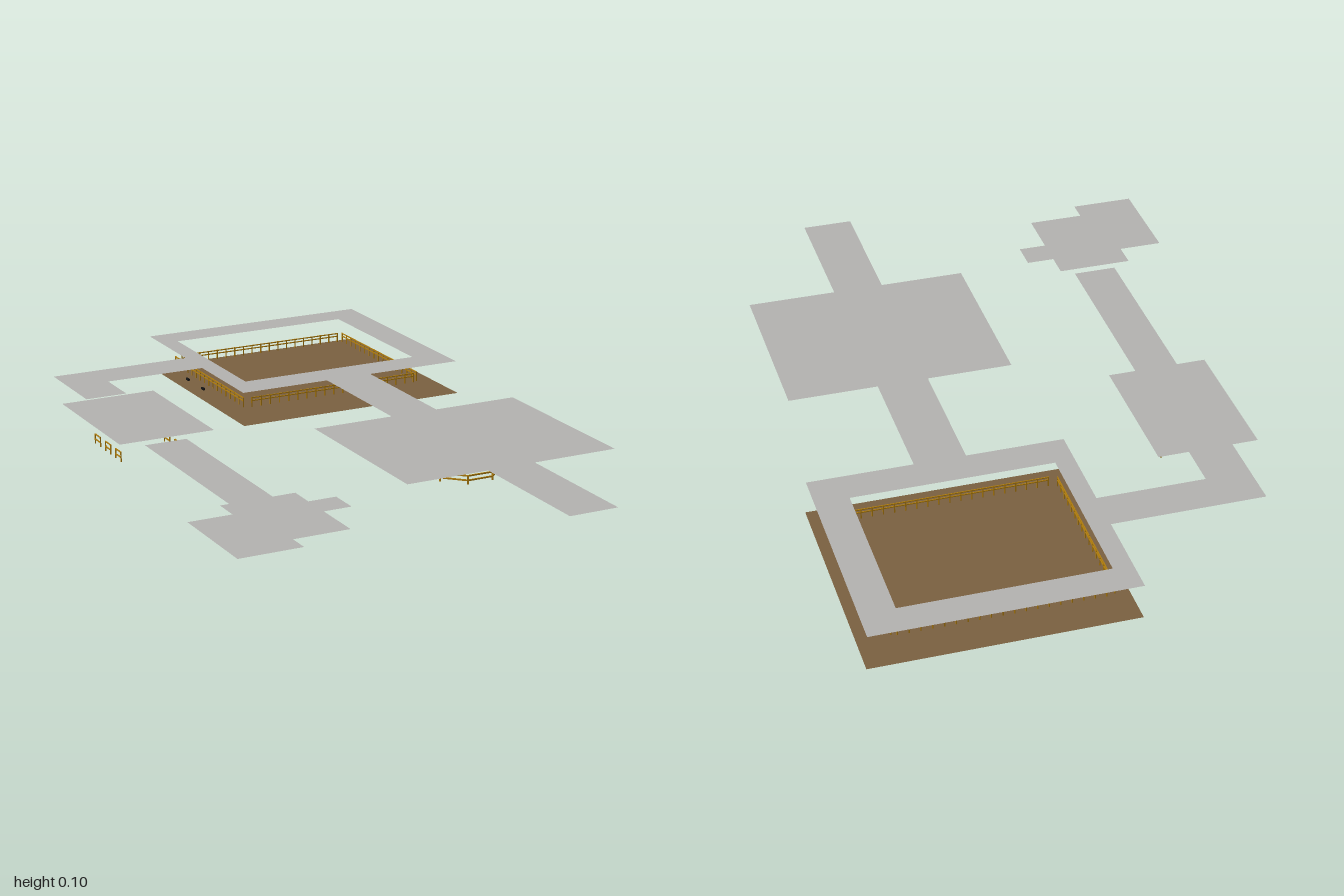
import * as THREE from 'three';

const mat = (name, color) => new THREE.MeshStandardMaterial({ name, color, side: THREE.DoubleSide });

export function createModel() {
  const stone = mat('grey stone', 0xb2b1af);
  const wood = mat('brown floor', 0x7a6040);
  const gold = mat('gold railing', 0xb07d0c);
  const black = mat('black fitting', 0x151515);
  const root = new THREE.Group();
  root.name = 'floorPlan';

  const add = (parent, name, geo, material) => {
    const m = new THREE.Mesh(geo, material);
    m.name = name;
    parent.add(m);
    return m;
  };

  // Flat slab from x,z outline points, facing up
  const outline = pts => pts.map(([x, z]) => new THREE.Vector2(x, -z));
  const rect = (x0, x1, z0, z1) => [[x0, z0], [x0, z1], [x1, z1], [x1, z0]];
  const slab = (name, pts, y, material, hole) => {
    const shape = new THREE.Shape(outline(pts));
    if (hole) shape.holes.push(new THREE.Path(outline(hole)));
    const geo = new THREE.ShapeGeometry(shape).rotateX(-Math.PI / 2).translate(0, y, 0);
    return add(root, name, geo, material);
  };

  // Great hall: lower floor with a walkway above it
  slab('hallFloor', rect(-0.06, 0.66, -1, -0.32), 0, wood);
  slab('walkway', rect(-0.06, 0.655, -1, -0.325), 0.1, stone, rect(-0.005, 0.56, -0.91, -0.425));

  // Main rooms and passages
  slab('mainPassage', rect(0.215, 0.36, -0.325, 0.07), 0.1, stone);
  slab('mainRoom', rect(-0.03, 0.615, 0.07, 0.6), 0.1, stone);
  slab('entrancePassage', rect(0.215, 0.36, 0.6, 1), 0.1, stone);

  // Side wing
  slab('cornerPassage', [[-0.06, -0.73], [-0.49, -0.73], [-0.49, -0.475], [-0.365, -0.475],
    [-0.365, -0.61], [-0.06, -0.61]], 0.1, stone);
  slab('sideRoom', rect(-0.565, -0.28, -0.475, -0.055), 0.097, stone);
  slab('lowPassage', rect(-0.49, -0.365, -0.055, 0.525), 0.084, stone);
  slab('endRoom', [[-0.535, 0.525], [-0.535, 0.6], [-0.66, 0.6], [-0.66, 0.89], [-0.48, 0.89],
    [-0.48, 0.83], [-0.32, 0.83], [-0.32, 0.685], [-0.24, 0.685], [-0.24, 0.6],
    [-0.32, 0.6], [-0.32, 0.525]], 0.1, stone);

  // Railing between two x,z points: evenly spaced posts and long rails
  const railing = (name, [x0, z0], [x1, z1], count, yLow, yTop, rails, t = 0.003) => {
    const g = new THREE.Group();
    g.name = name;
    root.add(g);
    const len = Math.hypot(x1 - x0, z1 - z0);
    g.position.set((x0 + x1) / 2, 0, (z0 + z1) / 2);
    g.rotation.y = -Math.atan2(z1 - z0, x1 - x0);
    for (let i = 0; i <= count; i++) {
      const post = new THREE.BoxGeometry(t, yTop - yLow, t);
      post.translate(-len / 2 + len * i / count, (yLow + yTop) / 2, 0);
      add(g, 'post', post, gold);
    }
    for (const y of rails) {
      add(g, 'rail', new THREE.BoxGeometry(len, t, t).translate(0, y, 0), gold);
    }
  };

  // Railings under the inner edge of the walkway
  for (const z of [-0.417, -0.918]) {
    railing('hallRailing', [0.012, z], [0.56, z], 18, 0.022, 0.052, [0.05, 0.041]);
  }
  for (const x of [-0.012, 0.575]) {
    railing('hallSideRailing', [x, -0.425], [x, -0.912], 16, 0.022, 0.052, [0.05, 0.041]);
  }

  // Eight-sided railing below the main room
  const corner = i => {
    const a = (i + 0.5) * Math.PI / 4;
    return [0.29 + 0.102 * Math.cos(a), 0.342 + 0.102 * Math.sin(a)];
  };
  for (let i = 0; i < 8; i++) {
    railing('ringRailing', corner(i), corner(i + 1), 1, 0.005, 0.03, [0.029, 0.016], 0.004);
  }

  // Three short frames along each side below the side room
  for (const x of [-0.514, -0.332]) {
    for (const z of [-0.17, -0.243, -0.318]) {
      railing('sideFrame', [x, z], [x, z - 0.038], 1, 0.005, 0.034, [0.033, 0.018]);
    }
  }

  // Small dark fittings beside the hall doorway
  for (const z of [-0.61, -0.72]) {
    add(root, 'doorFitting', new THREE.BoxGeometry(0.006, 0.006, 0.016), black).position.set(-0.058, 0.035, z);
  }
  return root;
}
